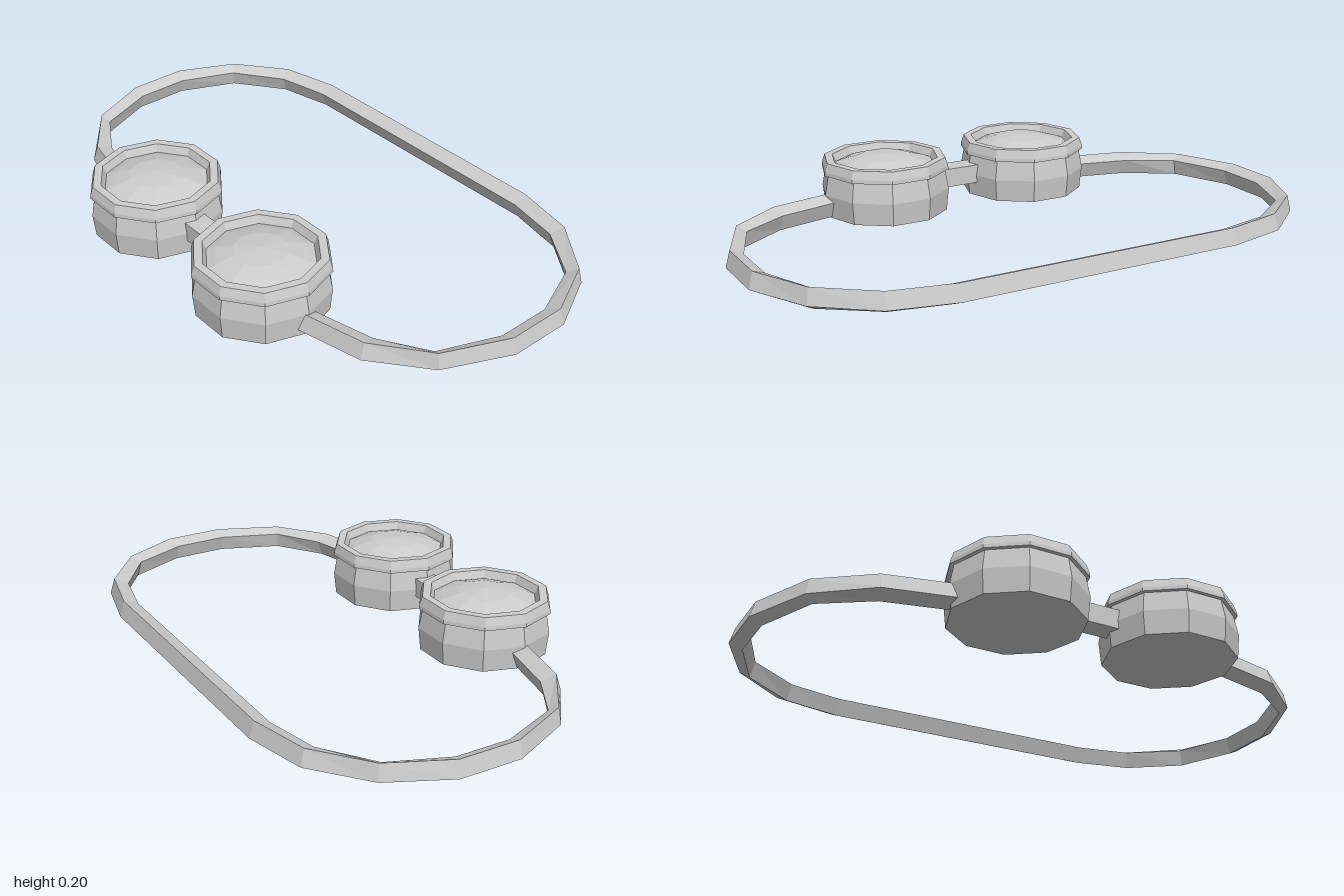
import * as THREE from 'three';

const grey = new THREE.MeshStandardMaterial({ color: 0xcccccc });
grey.name = 'light grey';

// Faceted mesh: every face gets its own flat normal
function facet(geometry, name) {
  const g = geometry.index ? geometry.toNonIndexed() : geometry;
  g.computeVertexNormals();
  const mesh = new THREE.Mesh(g, grey);
  mesh.name = name;
  return mesh;
}

// Ten-sided turned part with a flat side to the front
function turned(profile, name) {
  const g = new THREE.LatheGeometry(profile.map(([r, y]) => new THREE.Vector2(r, y)), 10);
  g.rotateY(Math.PI / 10);
  return facet(g, name);
}

// One eyepiece: cup, overhanging rim and domed lens
function eyepiece(name, x) {
  const group = new THREE.Group();
  group.name = name;
  group.add(
    turned([[0, 0], [0.221, 0], [0.229, 0.08], [0.216, 0.15]], 'cup'),
    turned([[0.2, 0.148], [0.229, 0.15], [0.228, 0.163], [0.218, 0.193],
      [0.19, 0.193], [0.178, 0.165]], 'rim'),
    turned([[0.185, 0.163], [0.15, 0.177], [0.09, 0.195], [0, 0.204]], 'lens'),
  );
  group.position.set(x, 0, 0.39);
  return group;
}

// Strap swept through tilted four-cornered sections, mirrored left to right
function strap() {
  // outer x, outer z, inner x, inner z
  const half = [
    [0.42, 0.437, 0.42, 0.366], [0.5, 0.42, 0.5, 0.35], [0.72, 0.37, 0.7, 0.302],
    [0.9, 0.225, 0.86, 0.205], [1, 0, 0.94, 0], [1, -0.215, 0.94, -0.19],
    [0.9, -0.42, 0.86, -0.385], [0.72, -0.565, 0.69, -0.505], [0.5, -0.615, 0.5, -0.545],
  ];
  const path = [...half, ...half.slice().reverse().map(([a, b, c, d]) => [-a, b, -c, d])];
  const corners = [[0, 0.025], [0.25, 0.08], [1, 0.06], [0.7, 0.004]]; // inward share, height
  const positions = [];
  for (const [ox, oz, ix, iz] of path) {
    for (const [t, y] of corners) positions.push(ox + (ix - ox) * t, y, oz + (iz - oz) * t);
  }
  const index = [];
  for (let i = 0; i < path.length - 1; i++) {
    for (let k = 0; k < 4; k++) {
      const a = i * 4 + k, d = i * 4 + (k + 1) % 4;
      index.push(a, a + 4, d, d, a + 4, d + 4);
    }
  }
  const g = new THREE.BufferGeometry();
  g.setAttribute('position', new THREE.Float32BufferAttribute(positions, 3));
  g.setIndex(index);
  return facet(g, 'strap');
}

export function createModel() {
  const model = new THREE.Group();
  model.name = 'goggles';
  model.add(eyepiece('leftEyepiece', 0.281), eyepiece('rightEyepiece', -0.281), strap());

  // Bridge between the eyepieces
  const bridge = facet(new THREE.BoxGeometry(0.18, 0.067, 0.08), 'bridge');
  bridge.position.set(0, 0.086, 0.387);
  model.add(bridge);
  return model;
}
